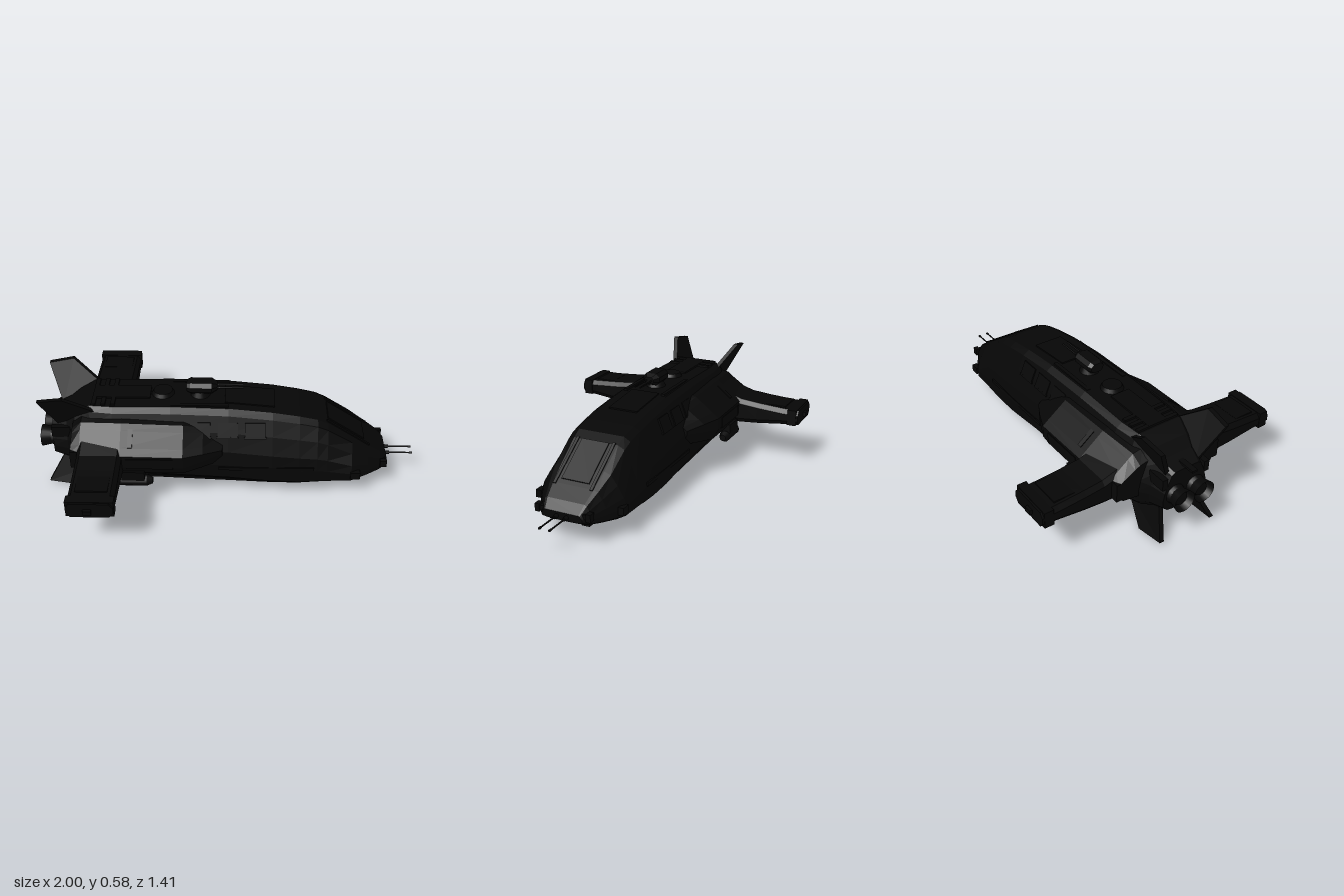
import * as THREE from 'three';

const hullBlack = new THREE.MeshStandardMaterial({ color: 0x060606, side: THREE.DoubleSide });
hullBlack.name = 'hullBlack';

// Skin closed rings of [x, y, z] points and cap both ends, with flat facets
function loft(rings) {
  const pos = [], n = rings[0].length;
  const tri = (a, b, c) => pos.push(...a, ...b, ...c);
  for (let i = 0; i < rings.length - 1; i++) {
    for (let j = 0; j < n; j++) {
      const k = (j + 1) % n, a = rings[i][j], b = rings[i][k], c = rings[i + 1][k], d = rings[i + 1][j];
      tri(a, b, d);
      tri(b, c, d);
    }
  }
  const first = rings[0], last = rings[rings.length - 1];
  for (let j = 1; j < n - 1; j++) {
    tri(first[0], first[j + 1], first[j]);
    tri(last[0], last[j], last[j + 1]);
  }
  const g = new THREE.BufferGeometry();
  g.setAttribute('position', new THREE.Float32BufferAttribute(pos, 3));
  g.computeVertexNormals();
  return g;
}

// Symmetric ring at x from half an outline of [z, y] points, top to bottom
const ring = (x, half) => [
  ...half.map(([z, y]) => [x, y, z]),
  ...half.slice().reverse().map(([z, y]) => [x, y, -z]),
];

// Mirror a geometry across the centre plane, keeping faces outward
function mirrorZ(src) {
  const g = src.index ? src.toNonIndexed() : src.clone();
  for (const key of ['position', 'normal']) {
    const a = g.attributes[key].array;
    for (let i = 0; i < a.length; i += 9) {
      for (let k = 0; k < 3; k++) {
        const t = a[i + 3 + k];
        a[i + 3 + k] = a[i + 6 + k];
        a[i + 6 + k] = t;
      }
      for (let k = 2; k < 9; k += 3) a[i + k] *= -1;
    }
  }
  return g;
}

const box = (w, h, d, x, y, z, rx = 0, rz = 0) =>
  new THREE.BoxGeometry(w, h, d).rotateX(rx).rotateZ(rz).translate(x, y, z);
// Cylinder lying along x, from x0 to x1, with radius r0 at x0 and r1 at x1
const rod = (x0, x1, r0, r1, y, z, sides = 10, open = false) =>
  new THREE.CylinderGeometry(r0, r1, x1 - x0, sides, 1, open)
    .rotateZ(Math.PI / 2).translate((x0 + x1) / 2, y, z);

export function createModel() {
  const model = new THREE.Group();
  model.name = 'spaceship';
  const add = (name, g) => {
    const m = new THREE.Mesh(g, hullBlack);
    m.name = name;
    model.add(m);
  };
  const pair = (name, g) => {
    add(name + 'Front', g);
    add(name + 'Back', mirrorZ(g));
  };

  // Main hull: x, top, bottom, half width, half width of the roof
  const stations = [
    [-0.93, 0.38, 0.16, 0.13, 0.07], [-0.85, 0.41, 0.14, 0.15, 0.09],
    [-0.8, 0.45, 0.12, 0.19, 0.1], [-0.72, 0.49, 0.1, 0.21, 0.12],
    [-0.6, 0.49, 0.09, 0.23, 0.13], [-0.3, 0.495, 0.07, 0.24, 0.13],
    [0, 0.487, 0.055, 0.243, 0.13], [0.23, 0.465, 0.037, 0.248, 0.13],
    [0.37, 0.442, 0.035, 0.246, 0.128], [0.465, 0.42, 0.043, 0.243, 0.125],
    [0.52, 0.394, 0.049, 0.24, 0.122], [0.65, 0.307, 0.065, 0.235, 0.117],
    [0.74, 0.246, 0.079, 0.185, 0.11], [0.81, 0.198, 0.093, 0.142, 0.1],
    [0.85, 0.155, 0.115, 0.11, 0.09],
  ];
  add('hull', loft(stations.map(([x, top, bot, w, tw]) => {
    const y = (f) => bot + f * (top - bot), z = (f) => tw + f * (w - tw);
    return ring(x, [[tw, top], [z(0.3), y(0.945)], [z(0.6), y(0.75)], [z(0.88), y(0.52)],
      [w, y(0.34)], [w * 0.98, y(0.15)], [w * 0.78, y(0.035)], [w * 0.4, bot]]);
  })));

  // Side sponsons: x, outer z, top, shoulder, bottom
  const sponson = [
    [-0.81, 0.3, 0.39, 0.33, 0.22], [-0.76, 0.31, 0.43, 0.34, 0.21], [-0.55, 0.34, 0.44, 0.34, 0.2],
    [-0.23, 0.34, 0.43, 0.335, 0.2], [-0.13, 0.295, 0.4, 0.325, 0.21], [-0.03, 0.24, 0.36, 0.31, 0.22],
  ];
  pair('sponson', loft(sponson.map(([x, w, top, mid, bot]) => [
    [0.13, top + 0.01], [w * 0.6, top], [w * 0.69, top - (top - mid) * 0.25],
    [w * 0.9, mid + (top - mid) * 0.18], [w, mid - 0.01],
    [w, bot + 0.06], [w * 0.9, bot], [0.13, bot - 0.02],
  ].map(([z, y]) => [x, y, z]))));
  pair('sponsonPanel', box(0.24, 0.06, 0.012, -0.4, 0.285, 0.338));
  pair('sponsonRib', box(0.025, 0.02, 0.1, -0.5, 0.385, 0.262, 0.66));

  // Wings: z, top, bottom, chamfered in section
  const wing = [[0.26, 0.37, 0.2], [0.35, 0.342, 0.204], [0.45, 0.332, 0.212], [0.6, 0.322, 0.23], [0.69, 0.32, 0.238]];
  pair('wing', loft(wing.map(([z, top, bot]) => [
    [-0.77, bot + 0.025], [-0.75, bot], [-0.56, bot], [-0.54, bot + 0.025],
    [-0.54, top - 0.025], [-0.56, top], [-0.75, top], [-0.77, top - 0.025],
  ].map(([x, y]) => [x, y, z]))));
  pair('wingTipBand', box(0.235, 0.088, 0.05, -0.655, 0.28, 0.655));
  pair('wingTipLamp', box(0.04, 0.025, 0.02, -0.665, 0.275, 0.695));
  pair('wingPanel', box(0.16, 0.008, 0.11, -0.655, 0.326, 0.55));
  pair('wingRootBlock', box(0.1, 0.1, 0.16, -0.76, 0.28, 0.23));

  // Pods hung under the sponsons
  pair('underPod', rod(-0.57, -0.42, 0.031, 0.031, 0.151, 0.305, 12));
  pair('underPodNose', rod(-0.42, -0.39, 0.031, 0.018, 0.151, 0.305, 12));
  pair('underPodStrut', box(0.12, 0.06, 0.054, -0.49, 0.19, 0.305));

  // Tail fins: corners as [x, y, z], thickened sideways
  const fin = (corners) => loft([-0.012, 0.012].map((t) => corners.map(([x, y, z]) => [x, y, z + t])));
  pair('upperFin', fin([[-0.9, 0.36, 0.09], [-0.68, 0.46, 0.13], [-0.84, 0.582, 0.198], [-0.97, 0.56, 0.188]]));
  pair('lowerFin', fin([[-0.97, 0.02, 0.155], [-0.82, 0.002, 0.163], [-0.67, 0.12, 0.115], [-0.88, 0.17, 0.1]]));

  // Twin engines at the stern
  pair('engineHousing', rod(-0.96, -0.86, 0.045, 0.07, 0.25, 0.06, 16));
  pair('engineNozzle', rod(-1, -0.94, 0.059, 0.045, 0.25, 0.06, 20, true));
  pair('engineCore', rod(-0.975, -0.95, 0.035, 0.035, 0.25, 0.06, 16));
  add('tailSpar', box(0.12, 0.012, 0.03, -0.925, 0.392, 0));
  pair('tailBlock', box(0.1, 0.06, 0.03, -0.88, 0.33, 0.125));
  for (let i = 0; i < 3; i++) {
    pair('engineVent' + i, box(0.022, 0.025, 0.07, -0.7 + i * 0.05, 0.488, 0.085));
  }

  // Roof: spine, hatch and stepped plates
  add('roofSpine', box(0.3, 0.02, 0.11, -0.56, 0.491, 0));
  add('roofHatch', new THREE.CylinderGeometry(0.05, 0.062, 0.025, 20).translate(-0.345, 0.502, 0));
  add('roofPlate', box(0.26, 0.012, 0.16, 0.11, 0.477, 0, 0, -0.09));
  pair('roofRail', box(0.3, 0.012, 0.02, -0.15, 0.492, 0.11));

  // Dorsal turret
  add('turretMount', new THREE.CylinderGeometry(0.04, 0.055, 0.035, 16).translate(-0.15, 0.502, 0));
  add('turret', loft([[-0.22, 0.75], [-0.2, 1], [-0.09, 1], [-0.06, 0.55]].map(([x, s]) =>
    ring(x, [[0.028, 0.032], [0.048, 0.012], [0.048, -0.012], [0.028, -0.032]]
      .map(([z, y]) => [z * s, 0.542 + y * s])))));
  pair('turretBarrel', rod(-0.07, 0.075, 0.005, 0.004, 0.541, 0.015, 8));

  // Side windows as thin tilted panes with a sill
  for (let i = 0; i < 3; i++) {
    const x = -0.145 + i * 0.142;
    pair('windowPane' + i, box(0.105, 0.075, 0.009, x, 0.397, 0.191, -0.39));
    pair('windowSill' + i, box(0.115, 0.01, 0.014, x, 0.357, 0.205, -0.39));
  }

  // Cockpit screen on the sloping nose
  const slope = -0.59;
  add('cockpitScreen', box(0.24, 0.01, 0.15, 0.62, 0.328, 0, 0, slope));
  pair('cockpitPillar', box(0.28, 0.01, 0.015, 0.63, 0.321, 0.1, 0, slope));

  // Belly plates, strakes and side rails
  add('bellyKeel', box(0.5, 0.02, 0.12, -0.3, 0.074, 0, 0, -0.05));
  add('bellySensor', box(0.03, 0.02, 0.14, 0.37, 0.035, 0));
  pair('bellyStrake', box(0.8, 0.014, 0.014, -0.15, 0.079, 0.19, 0, -0.045));
  pair('sideRail', box(0.5, 0.018, 0.012, 0.2, 0.185, 0.243));
  pair('noseThruster', box(0.05, 0.04, 0.03, 0.67, 0.14, 0.228));
  pair('chinBlock', box(0.03, 0.025, 0.04, 0.77, 0.088, 0.09));

  // Nose bar and forward guns
  add('noseBar', box(0.03, 0.025, 0.27, 0.825, 0.15, 0));
  pair('noseLug', box(0.035, 0.04, 0.025, 0.828, 0.15, 0.138));
  pair('gunHousing', rod(0.83, 0.875, 0.013, 0.009, 0.134, 0.027, 10));
  pair('gunBarrel', rod(0.87, 0.985, 0.004, 0.004, 0.134, 0.027, 8));
  pair('gunMuzzle', rod(0.985, 1, 0.006, 0.006, 0.134, 0.027, 8));

  return model;
}
